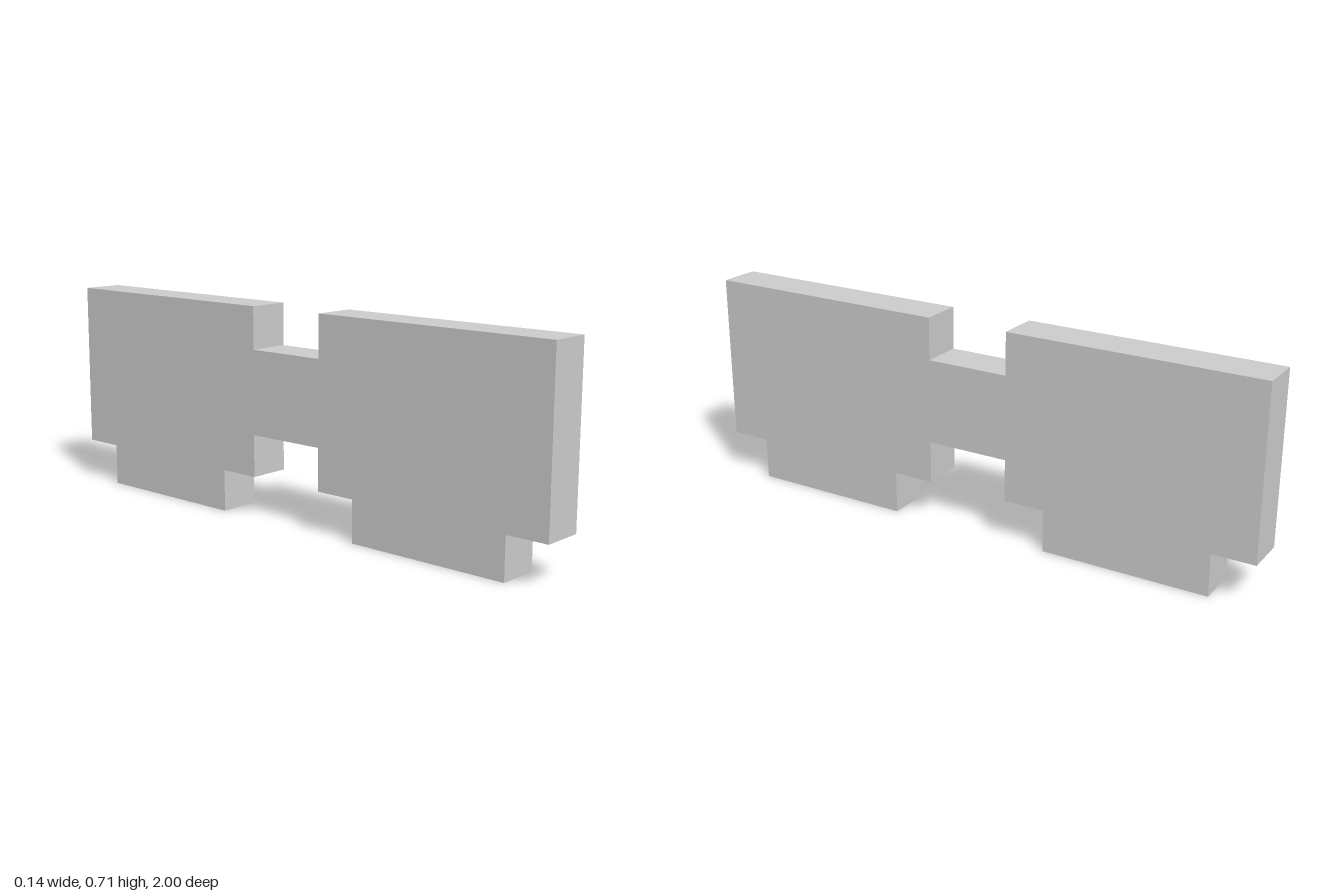
import * as THREE from 'three';

const U = 1 / 7; // grid unit: the whole outline sits on a 14 x 5 grid

export function createModel() {
  const group = new THREE.Group();
  group.name = 'steppedPlate';

  // Outline of the +z half as [z, y], from the bridge underside round to its top
  const half = [[1, 2], [1, 1], [2, 1], [2, 0], [6, 0], [6, 1], [7, 1], [7, 5], [1, 5], [1, 4]];
  // Mirror it to close the loop
  const mirrored = half.map(([z, y]) => [-z, y]).reverse();
  const outline = [...half, ...mirrored].map(([z, y]) => new THREE.Vector2(z * U, y * U));

  // Extrude across the thickness, then turn the profile to run along z
  const geometry = new THREE.ExtrudeGeometry(new THREE.Shape(outline), { depth: U, bevelEnabled: false });
  geometry.translate(0, 0, -U / 2);
  geometry.rotateY(-Math.PI / 2);

  const plate = new THREE.Mesh(
    geometry,
    new THREE.MeshStandardMaterial({ color: 0xcccccc, flatShading: true })
  );
  plate.name = 'plate';
  group.add(plate);
  return group;
}
